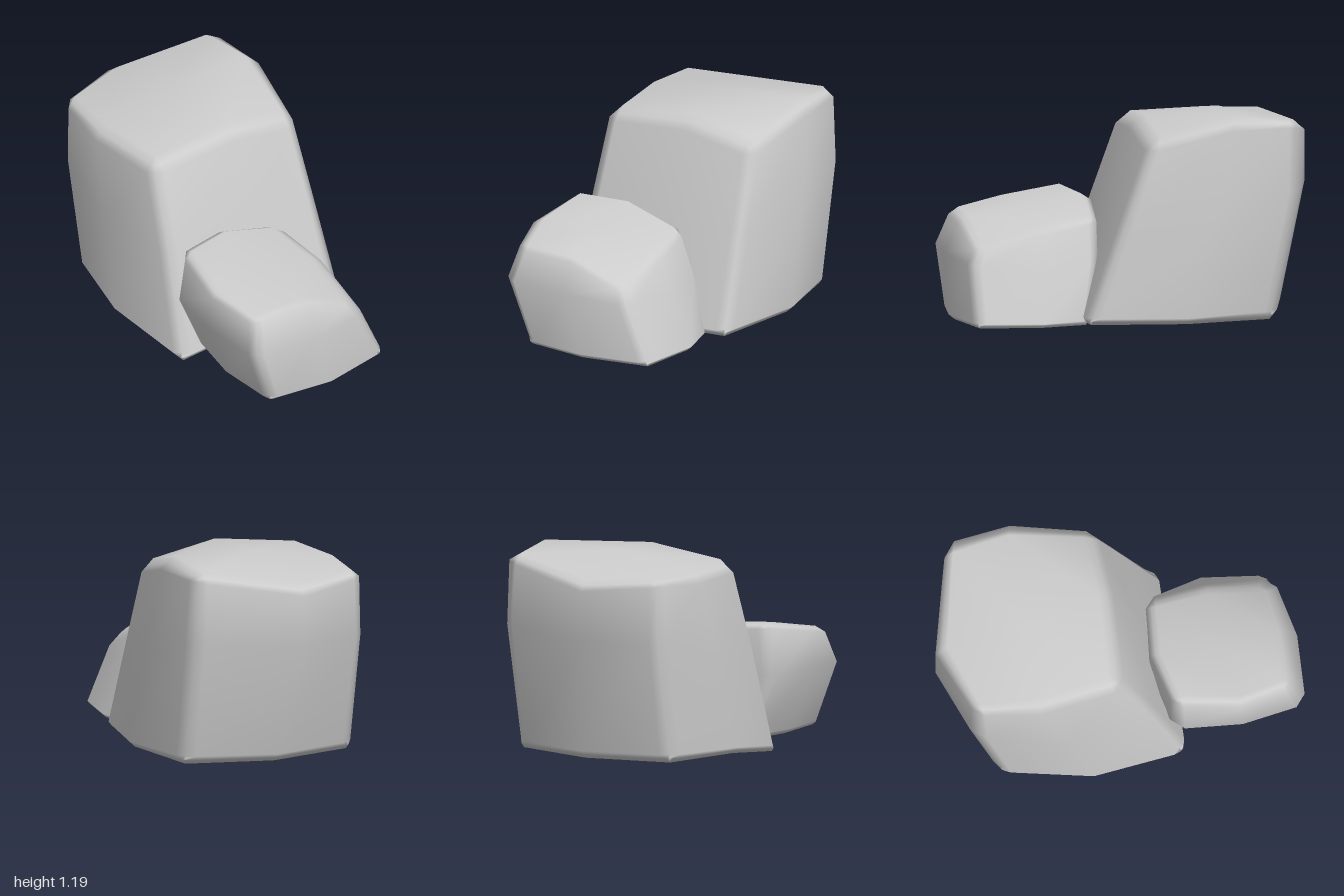
import * as THREE from 'three';
import { mergeVertices } from 'three/addons/utils/BufferGeometryUtils.js';

// Each boulder is a 3x3x3 cage: layers bottom to top, rows back to front, points -x to +x.
const largeCage = [
  [
    [[-0.5, 0.065, -0.71], [0, 0.065, -0.835], [0.5, 0.065, -0.71]],
    [[-0.61, 0.06, -0.2], [0, 0.06, -0.25], [0.61, 0.065, -0.2]],
    [[-0.53, -0.01, 0.325], [0, 0.035, 0.335], [0.52, 0.065, 0.345]],
  ],
  [
    [[-0.51, 0.74, -0.85], [-0.1, 0.74, -1.0], [0.51, 0.78, -0.85]],
    [[-0.575, 0.6, -0.35], [0, 0.6, -0.4], [0.575, 0.6, -0.35]],
    [[-0.5, 0.6, 0.14], [0.03, 0.6, 0.16], [0.49, 0.58, 0.15]],
  ],
  [
    [[-0.5, 1.1, -0.84], [-0.1, 1.06, -1.0], [0.49, 1.165, -0.84]],
    [[-0.54, 1.095, -0.5], [-0.02, 1.175, -0.5], [0.53, 1.19, -0.5]],
    [[-0.48, 1.095, -0.04], [0.05, 1.15, -0.01], [0.46, 1.05, -0.03]],
  ],
];
const smallCage = [
  [
    [[-0.37, 0.045, 0.25], [0, 0.045, 0.19], [0.38, 0.045, 0.3]],
    [[-0.42, 0.045, 0.6], [0, 0.045, 0.58], [0.45, 0.045, 0.56]],
    [[-0.38, 0.045, 0.945], [0, 0.045, 1.0], [0.4, 0.045, 0.925]],
  ],
  [
    [[-0.53, 0.42, 0.25], [-0.15, 0.4, 0.17], [0.26, 0.37, 0.22]],
    [[-0.57, 0.44, 0.62], [-0.12, 0.4, 0.58], [0.31, 0.34, 0.55]],
    [[-0.5, 0.4, 0.98], [-0.1, 0.4, 1.0], [0.26, 0.37, 0.93]],
  ],
  [
    [[-0.485, 0.72, 0.25], [-0.18, 0.7, 0.175], [0.165, 0.605, 0.21]],
    [[-0.535, 0.65, 0.62], [-0.17, 0.645, 0.55], [0.22, 0.55, 0.55]],
    [[-0.45, 0.595, 0.905], [-0.12, 0.59, 0.92], [0.2, 0.435, 0.89]],
  ],
];

// Piecewise trilinear lookup in the cage for coordinates in -1..1
function sampleCage(cage, p) {
  const cell = (t) => {
    const i = t < 0 ? 0 : 1;
    return [i, t + 1 - i];
  };
  const [ix, fx] = cell(p.x), [iy, fy] = cell(p.y), [iz, fz] = cell(p.z);
  const out = new THREE.Vector3();
  for (let n = 0; n < 8; n++) {
    const a = n & 1, b = (n >> 1) & 1, c = n >> 2;
    const w = (a ? fx : 1 - fx) * (b ? fy : 1 - fy) * (c ? fz : 1 - fz);
    out.addScaledVector(new THREE.Vector3(...cage[iy + b][iz + c][ix + a]), w);
  }
  return out;
}

// Chamfered cube bent into the cage, with smooth normals
function boulder(name, cage, bevel) {
  let geo = new THREE.BoxGeometry(2, 2, 2, 4, 4, 4);
  geo.deleteAttribute('uv');
  geo.deleteAttribute('normal');
  geo = mergeVertices(geo);
  const pos = geo.attributes.position;
  for (let i = 0; i < pos.count; i++) {
    const c = [pos.getX(i), pos.getY(i), pos.getZ(i)];
    const onFaces = c.filter((v) => Math.abs(v) > 0.9).length;
    // flat faces reach 1, edges and corners are cut back
    const inset = [0, 0, 0.5, 0.67][onFaces];
    // the bottom edge is cut less: low in y and short across the underside
    const underside = c[1] < -0.9;
    const q = c.map((v, axis) => {
      const b = underside || (axis === 1 && v < 0) ? bevel * 0.5 : bevel;
      const m = Math.abs(v);
      return m < 0.1 ? 0 : Math.sign(v) * (m > 0.9 ? 1 - b * inset : 1 - b);
    });
    const s = sampleCage(cage, new THREE.Vector3(...q));
    pos.setXYZ(i, s.x, s.y, s.z);
  }
  geo.computeVertexNormals();
  const mesh = new THREE.Mesh(geo, new THREE.MeshStandardMaterial({ color: 0xcccccc }));
  mesh.name = name;
  return mesh;
}

export function createModel() {
  const group = new THREE.Group();
  group.name = 'rocks';
  group.add(boulder('largeRock', largeCage, 0.13), boulder('smallRock', smallCage, 0.15));
  return group;
}
